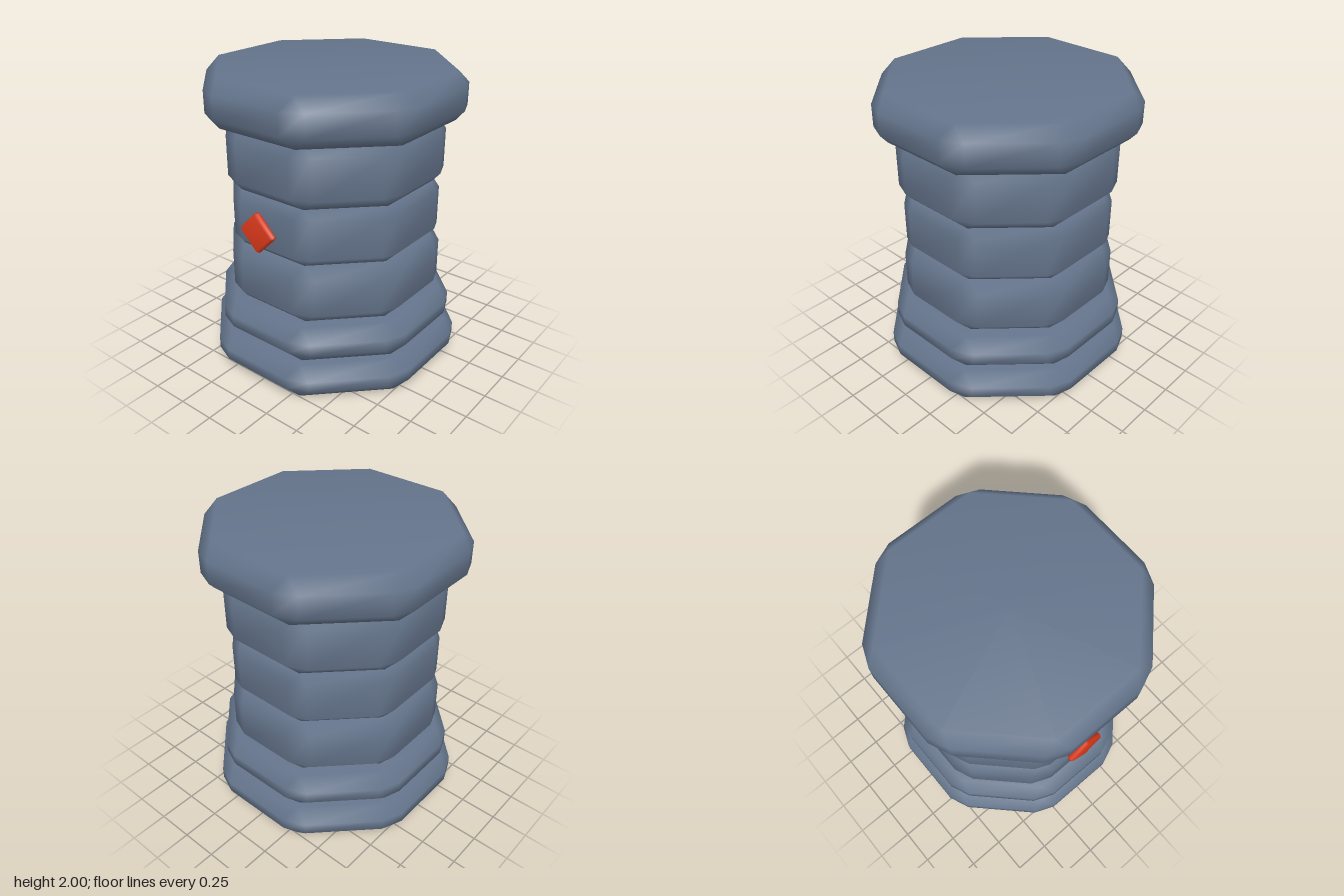
import * as THREE from 'three';

// Regular prism with every edge chamfered and smooth shared normals, centred on its axis.
// apothem: centre to side, bevel: chamfer width, phase: turn about y
function bevelledPrism(sides, apothem, height, bevel, phase = 0) {
  const pos = [], index = [];
  const step = (2 * Math.PI) / sides;
  const half = apothem * Math.tan(step / 2) - bevel;
  const capRadius = (apothem - bevel) / Math.cos(step / 2);
  const n2 = sides * 2;

  // Two side loops (lower, upper), each with two points per side
  for (const y of [-height / 2 + bevel, height / 2 - bevel]) {
    for (let i = 0; i < sides; i++) {
      const c = Math.cos(phase + i * step), s = Math.sin(phase + i * step);
      for (const t of [-half, half]) pos.push(apothem * c - t * s, y, -(apothem * s + t * c));
    }
  }
  // Two cap loops with their centres (bottom, top)
  for (const y of [-height / 2, height / 2]) {
    for (let i = 0; i < sides; i++) {
      const a = phase + (i + 0.5) * step;
      pos.push(capRadius * Math.cos(a), y, -capRadius * Math.sin(a));
    }
    pos.push(0, y, 0);
  }

  // Side walls
  for (let k = 0; k < n2; k++) {
    const m = (k + 1) % n2;
    index.push(k, m, n2 + m, k, n2 + m, n2 + k);
  }
  // Chamfers, corner triangles and caps; the bottom reverses the winding
  for (const end of [0, 1]) {
    const tri = (a, b, c) => (end ? index.push(a, b, c) : index.push(a, c, b));
    const wall = end * n2, cap = 2 * n2 + end * (sides + 1);
    for (let i = 0; i < sides; i++) {
      const a = wall + 2 * i, b = a + 1, next = wall + ((2 * i + 2) % n2);
      const here = cap + i, prev = cap + ((i + sides - 1) % sides);
      tri(a, b, here);
      tri(a, here, prev);
      tri(b, next, here);
      tri(cap + sides, prev, here);
    }
  }

  const geo = new THREE.BufferGeometry();
  geo.setAttribute('position', new THREE.Float32BufferAttribute(pos, 3));
  geo.setIndex(index);
  geo.computeVertexNormals();
  return geo;
}

export function createModel() {
  const group = new THREE.Group();
  const stone = new THREE.MeshStandardMaterial({ color: 0x64748b });
  const red = new THREE.MeshStandardMaterial({ color: 0xdc3a1a });

  // Stacked octagonal tiers: name, bottom, top, apothem, bevel
  const tiers = [
    ['base', 0, 0.245, 0.825, 0.085],
    ['baseStep', 0.245, 0.49, 0.777, 0.083],
    ['lowerDrum', 0.49, 0.89, 0.697, 0.08],
    ['middleDrum', 0.89, 1.27, 0.673, 0.06],
    ['upperDrum', 1.27, 1.69, 0.697, 0.08],
    ['capital', 1.69, 2, 0.812, 0.083],
  ];
  for (const [name, y0, y1, apothem, bevel] of tiers) {
    const mesh = new THREE.Mesh(bevelledPrism(8, apothem, y1 - y0, bevel), stone);
    mesh.name = name;
    mesh.position.y = (y0 + y1) / 2;
    group.add(mesh);
  }

  // Diamond plate floating just ahead of the middle drum
  const diamond = new THREE.Mesh(bevelledPrism(4, 0.1, 0.05, 0.015, Math.PI / 4), red);
  diamond.name = 'diamondPlate';
  diamond.rotation.x = Math.PI / 2;
  diamond.position.set(0, 1.09, 0.745);
  group.add(diamond);

  return group;
}
